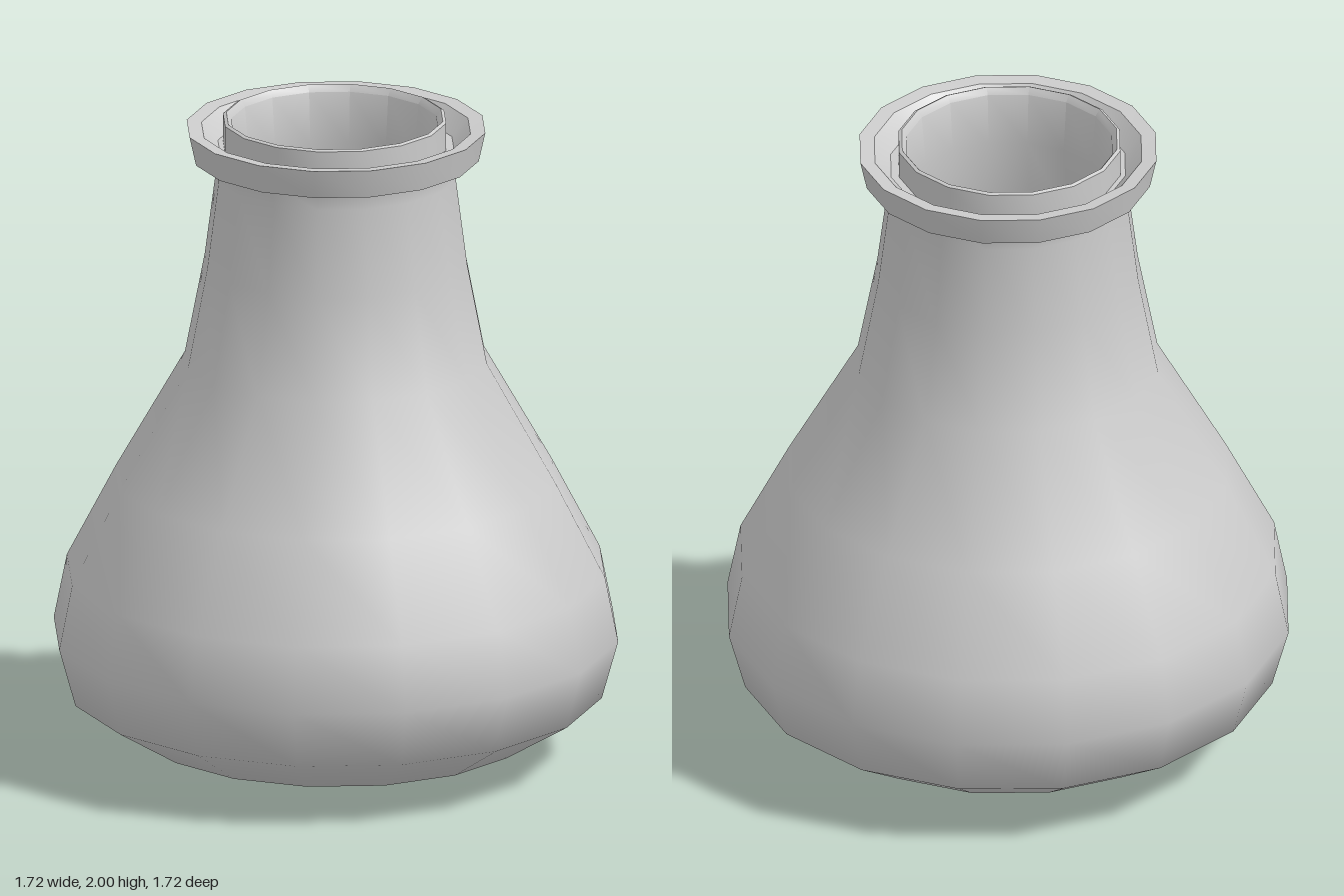
import * as THREE from 'three';
import { toCreasedNormals } from 'three/addons/utils/BufferGeometryUtils.js';

const SIDES = 16;
const material = new THREE.MeshStandardMaterial({ color: 0xcccccc });

// Turn a [radius, height] profile around the y axis
function turned(name, profile, crease) {
  const points = profile.map(([r, y]) => new THREE.Vector2(r, y));
  let geometry = new THREE.LatheGeometry(points, SIDES);
  if (crease) geometry = toCreasedNormals(geometry, crease);
  const mesh = new THREE.Mesh(geometry, material);
  mesh.name = name;
  return mesh;
}

export function createModel() {
  const flask = new THREE.Group();
  flask.name = 'flask';

  // Smooth rounded belly narrowing into the neck
  flask.add(turned('body', [
    [0, 0], [0.28, 0.015], [0.5, 0.04], [0.6, 0.07], [0.81, 0.2],
    [0.86, 0.38], [0.82, 0.58], [0.67, 0.87], [0.46, 1.24],
    [0.4, 1.55], [0.365, 1.82], [0.38, 1.89],
  ]));

  // Collar around the mouth, dished towards the neck
  flask.add(turned('rim', [
    [0.33, 1.88], [0.435, 1.88], [0.455, 1.97], [0.41, 1.965],
    [0.36, 1.91], [0.33, 1.91], [0.33, 1.88],
  ], 0.45));

  // Raised lip that continues down as the inner wall to the floor
  const lining = turned('lining', [
    [0.34, 1.88], [0.34, 1.995], [0.33, 2], [0.315, 1.98], [0.3, 1.82],
    [0.34, 1.55], [0.4, 1.24], [0.61, 0.87], [0.76, 0.58], [0.79, 0.38],
    [0.74, 0.23], [0.5, 0.11], [0, 0.08],
  ], 0.6);
  lining.position.x = -0.005;
  flask.add(lining);

  return flask;
}
